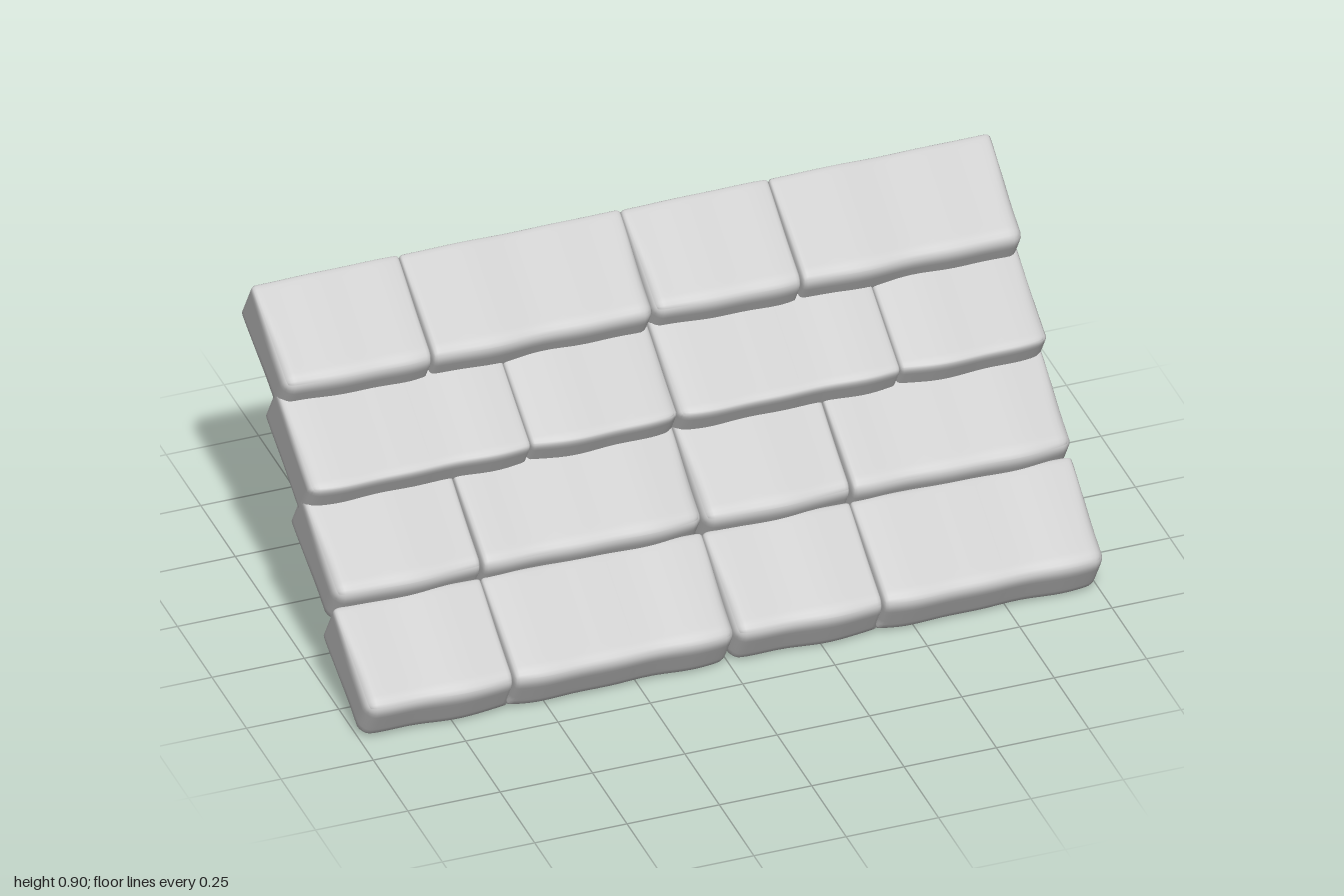
import * as THREE from 'three';
import { mergeVertices } from 'three/addons/utils/BufferGeometryUtils.js';

const HEIGHT = 0.157, DEPTH = 0.312, TILT = 0.541;

// Worn stone block: box with soft front edges, crisp back edges and a gentle wobble.
// leftOpen / rightOpen mark ends that are rounded more than a tight inner joint.
function blockGeometry(width, leftOpen, rightOpen, frontRadius, seed) {
  const hx = width / 2, hy = HEIGHT / 2, hz = DEPTH / 2;
  let geo = new THREE.BoxGeometry(2, 2, 2, 30, 14, 20);
  geo.deleteAttribute('uv');
  geo.deleteAttribute('normal');
  const pos = geo.attributes.position;
  const spread = (t) => Math.sin(t * Math.PI / 2);   // denser vertices near edges
  for (let i = 0; i < pos.count; i++) {
    const u = spread(pos.getX(i)), v = spread(pos.getY(i)), w = spread(pos.getZ(i));
    const p = [u * hx, v * hy, w * hz];
    const half = [hx, hy, hz];
    const open = u < 0 ? leftOpen : rightOpen;
    const front = THREE.MathUtils.smoothstep(w, -0.9, 0.5);
    const radius = [
      open ? 0.016 + 0.016 * front : (v < -0.6 ? 0.003 : 0.011),
      THREE.MathUtils.lerp(0.012, frontRadius, front),
      w > 0 ? frontRadius : 0.01,
    ];
    // ellipsoidal rounding around an inner core
    const core = p.map((c, k) => THREE.MathUtils.clamp(c, radius[k] - half[k], half[k] - radius[k]));
    const d = p.map((c, k) => (c - core[k]) / radius[k]);
    const len = Math.hypot(...d) || 1;
    const q = core.map((c, k) => c + d[k] / len * radius[k]);
    // front bulge, dips at the ends and slow surface waves
    const belly = 1 - u ** 4;
    const wave = Math.sin(q[0] * 13 + seed * 2.1) + 0.6 * Math.sin(q[0] * 29 + seed);
    const top = Math.max(0, v);
    const face = Math.max(0, w);
    q[1] += top * (0.004 * belly - 0.004 + 0.0022 * wave);
    q[2] += face * face * (0.008 * belly - 0.008 + 0.003 * wave);
    pos.setXYZ(i, ...q);
  }
  geo = mergeVertices(geo, 1e-5);
  geo.computeVertexNormals();
  return geo;
}

export function createModel() {
  const group = new THREE.Group();
  group.name = 'slopedStoneCourses';
  const material = new THREE.MeshStandardMaterial({ color: 0xcccccc });

  // centre of each course, inner joint within each half, and front edge radius
  const courses = [
    { y: 0.147, z: 0.300, joint: 0.4, radius: 0.034 },
    { y: 0.352, z: 0.068, joint: 0.4, radius: 0.034 },
    { y: 0.557, z: -0.117, joint: 0.6, radius: 0.018 },
    { y: 0.762, z: -0.292, joint: 0.4, radius: 0.034 },
  ];

  courses.forEach((c, row) => {
    const course = new THREE.Group();
    course.name = 'course' + (row + 1);
    course.position.set(0, c.y, c.z);
    course.rotation.x = TILT;
    // the two-block pattern repeats for both halves
    for (const start of [-1, 0]) {
      [[0, c.joint], [c.joint, 1]].forEach(([a, b], k) => {
        const geo = blockGeometry(b - a, k === 0, k === 1, c.radius, row + 2 * k);
        const block = new THREE.Mesh(geo, material);
        block.name = 'stoneBlock';
        block.position.x = start + (a + b) / 2;
        course.add(block);
      });
    }
    group.add(course);
  });
  return group;
}
